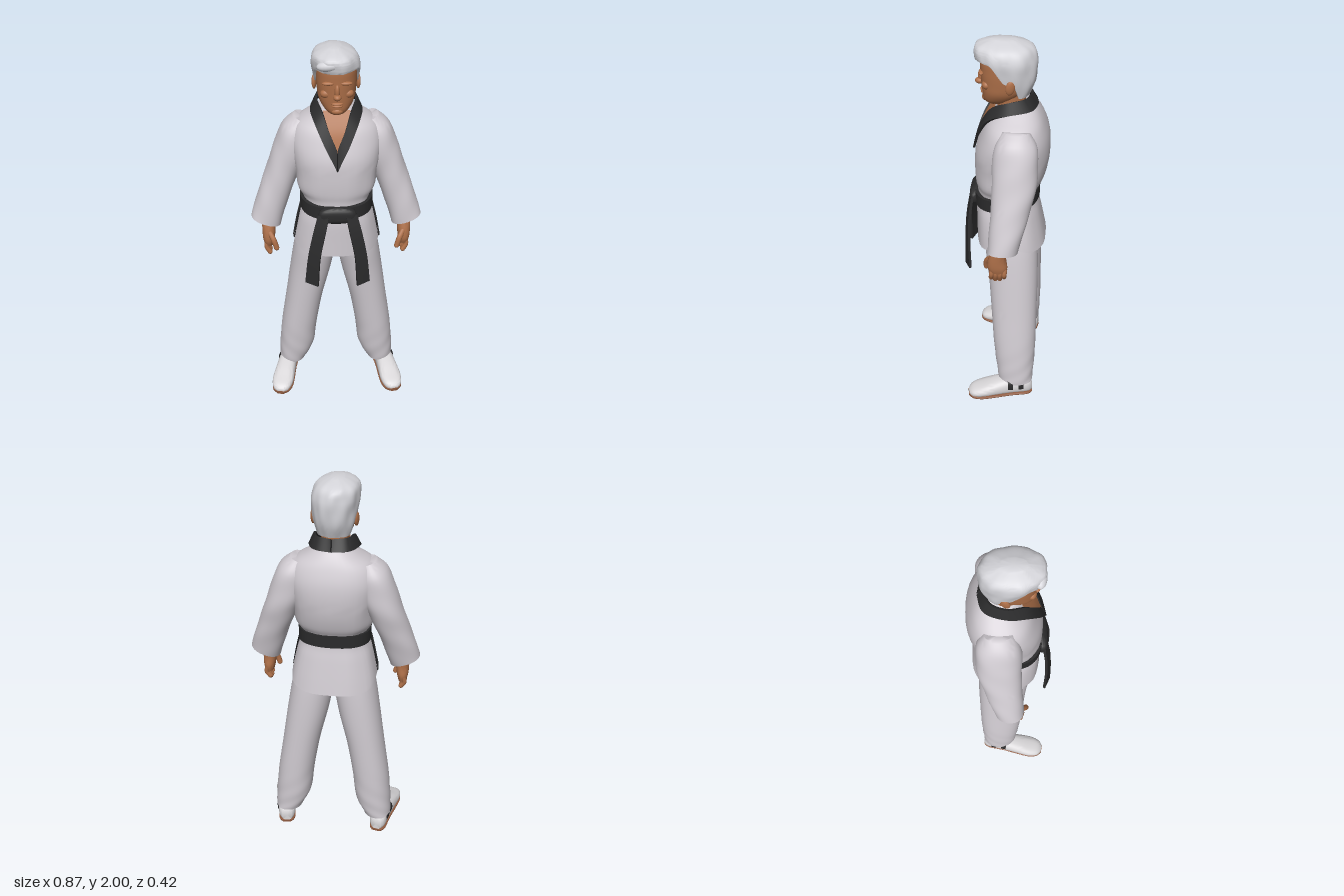
import * as THREE from 'three';
import { toCreasedNormals } from 'three/addons/utils/BufferGeometryUtils.js';

const V = (x, y, z) => new THREE.Vector3(x, y, z);
const mat = (name, color) => {
  const m = new THREE.MeshStandardMaterial({ color });
  m.name = name;
  return m;
};

// Closed skin over a stack of rings, capped at both ends
function skin(rings, crease = 1) {
  const n = rings[0].length, pos = [], idx = [];
  for (const r of rings) for (const p of r) pos.push(p.x, p.y, p.z);
  for (let r = 0; r < rings.length - 1; r++) {
    for (let i = 0; i < n; i++) {
      const a = r * n + i, b = r * n + (i + 1) % n;
      idx.push(a, a + n, b, b, a + n, b + n);
    }
  }
  [rings[0], rings[rings.length - 1]].forEach((ring, end) => {
    const c = ring.reduce((s, p) => s.add(p), V(0, 0, 0)).divideScalar(n);
    const ci = pos.length / 3, o = end ? (rings.length - 1) * n : 0;
    pos.push(c.x, c.y, c.z);
    for (let i = 0; i < n; i++) {
      const a = o + i, b = o + (i + 1) % n;
      if (end) idx.push(ci, b, a); else idx.push(ci, a, b);
    }
  });
  const g = new THREE.BufferGeometry();
  g.setAttribute('position', new THREE.Float32BufferAttribute(pos, 3));
  g.setIndex(idx);
  return toCreasedNormals(g, crease);
}

// Smooth loft of superellipse sections [y, centreX, halfWidth, backZ, frontZ], bottom to top
function loft(secs, { p = 2.2, tx = 0, tz = 0, start = () => 0, wob = () => 0, rows = 28, seg = 36 } = {}) {
  const last = secs.length - 1;
  const at = t => {
    const f = Math.min(t * last, last - 1e-6), i = Math.floor(f), u = f - i;
    const [a, b, c, d] = [i - 1, i, i + 1, i + 2].map(k => secs[Math.max(0, Math.min(last, k))]);
    return b.map((_, k) => b[k] + 0.5 * u * (c[k] - a[k]
      + u * (2 * a[k] - 5 * b[k] + 4 * c[k] - d[k] + u * (3 * (b[k] - c[k]) + d[k] - a[k]))));
  };
  const pw = v => Math.sign(v) * Math.abs(v) ** (2 / p);
  const rings = [];
  for (let r = 0; r <= rows; r++) {
    const ring = [];
    for (let i = 0; i < seg; i++) {
      const th = i / seg * Math.PI * 2, t0 = start(Math.cos(th), Math.sin(th));
      const t = t0 + (1 - t0) * r / rows;
      const [y, cx, hx, zb, zf] = at(t), k = 1 + wob(th, t);
      const dx = hx * k * pw(Math.cos(th)), dz = (zf - zb) / 2 * k * pw(Math.sin(th));
      ring.push(V(cx + dx, y + tx * dx + tz * dz, (zb + zf) / 2 + dz));
    }
    rings.push(ring);
  }
  return skin(rings);
}

// Flat strap between two edge curves, thickened outwards
function strap(A, B, th, n = 24) {
  const ca = new THREE.CatmullRomCurve3(A.map(q => V(...q)));
  const cb = new THREE.CatmullRomCurve3(B.map(q => V(...q)));
  const rings = [];
  for (let i = 0; i <= n; i++) {
    const t = i / n, a = ca.getPoint(t), b = cb.getPoint(t);
    const tan = ca.getTangent(t).add(cb.getTangent(t));
    const o = tan.cross(b.clone().sub(a)).normalize().multiplyScalar(th);
    rings.push([a, a.clone().add(o), b.clone().add(o), b]);
  }
  return skin(rings, 0.7);
}

function mirrorX(geo) {
  const g = geo.index ? geo.toNonIndexed() : geo.clone();
  g.scale(-1, 1, 1);
  for (const at of [g.attributes.position, g.attributes.normal]) {
    for (let i = 0; i < at.count; i += 3) {
      const q = [at.getX(i + 1), at.getY(i + 1), at.getZ(i + 1)];
      at.setXYZ(i + 1, at.getX(i + 2), at.getY(i + 2), at.getZ(i + 2));
      at.setXYZ(i + 2, ...q);
    }
  }
  return g;
}

const ball = (x, y, z, rx, ry, rz) => new THREE.SphereGeometry(1, 20, 14).scale(rx, ry, rz).translate(x, y, z);

function finger(points, r) {
  const c = new THREE.CatmullRomCurve3(points.map(q => V(...q)));
  return [new THREE.TubeGeometry(c, 8, r, 10), ball(...points[points.length - 1], r, r, r)];
}

export function createModel() {
  const model = new THREE.Group();
  model.name = 'martialArtist';
  const cloth = mat('whiteCloth', 0xcfcad0), black = mat('blackCloth', 0x2b2b2c);
  const flesh = mat('skin', 0xae7049), grey = mat('greyHair', 0xd3d3d8);
  const shoeWhite = mat('shoeWhite', 0xdad8da), brown = mat('soleBrown', 0x8f5b40);

  const add = (name, geo, m) => {
    const mesh = new THREE.Mesh(geo, m);
    mesh.name = name;
    model.add(mesh);
  };
  const pair = (name, geo, m) => {
    add(name + 'Left', geo, m);
    add(name + 'Right', mirrorX(geo), m);
  };

  // Jacket body, hem raised at the side slits
  add('jacket', loft([
    [0.92, 0, 0.228, -0.205, 0.15], [1.0, 0, 0.215, -0.19, 0.15], [1.1, 0, 0.192, -0.17, 0.15],
    [1.17, 0, 0.168, -0.155, 0.145], [1.23, 0, 0.17, -0.155, 0.145], [1.28, 0, 0.197, -0.18, 0.152],
    [1.36, 0, 0.205, -0.203, 0.155], [1.45, 0, 0.22, -0.213, 0.15], [1.53, 0, 0.225, -0.207, 0.125],
    [1.6, 0, 0.2, -0.185, 0.095], [1.65, 0, 0.13, -0.16, 0.055], [1.69, 0, 0.07, -0.13, 0.03],
  ], { p: 2.4, rows: 48, start: c => 0.055 * Math.abs(c) ** 5,
    wob: (a, t) => t < 0.6 ? 0.008 * Math.sin(9 * a + 5 * t) : 0 }), cloth);

  // Sleeves
  pair('sleeve', loft([
    [1.06, 0.362, 0.075, -0.085, 0.06], [1.15, 0.335, 0.075, -0.11, 0.055], [1.25, 0.3, 0.075, -0.135, 0.05],
    [1.35, 0.262, 0.078, -0.16, 0.047], [1.45, 0.222, 0.083, -0.168, 0.05], [1.55, 0.19, 0.075, -0.16, 0.04],
    [1.615, 0.165, 0.04, -0.125, 0.005],
  ], { tx: 0.35, wob: (a, t) => 0.012 * Math.sin(3 * a + 22 * t) }), cloth);

  // Trousers
  pair('trouserLeg', loft([
    [0.09, 0.252, 0.074, -0.165, 0.02], [0.2, 0.224, 0.096, -0.172, 0.037], [0.35, 0.207, 0.098, -0.176, 0.052],
    [0.55, 0.175, 0.1, -0.176, 0.066], [0.75, 0.137, 0.109, -0.175, 0.082], [0.9, 0.112, 0.11, -0.17, 0.1],
    [1.0, 0.1, 0.1, -0.16, 0.1],
  ], { rows: 36, wob: (a, t) => 0.02 * Math.max(0, 0.4 - t) * Math.sin(4 * a + 45 * t) * 2 }), cloth);

  // Collar and bare chest inside it
  pair('collar', strap(
    [[0, 1.42, 0.158], [0.055, 1.53, 0.128], [0.1, 1.63, 0.068], [0.115, 1.67, -0.02], [0.08, 1.68, -0.118], [0, 1.68, -0.142]],
    [[0, 1.52, 0.134], [0.035, 1.6, 0.105], [0.064, 1.68, 0.055], [0.09, 1.725, -0.02], [0.065, 1.735, -0.09], [0, 1.735, -0.115]],
    0.012, 36), black);
  add('chest', strap(
    [[0.003, 1.51, 0.14], [0.038, 1.6, 0.106], [0.066, 1.69, 0.05]],
    [[-0.003, 1.51, 0.14], [-0.038, 1.6, 0.106], [-0.066, 1.69, 0.05]], 0.004), flesh);

  // Belt, knot, hanging ends and dark side slits
  add('belt', loft([[1.163, 0, 0.184, -0.168, 0.16], [1.23, 0, 0.184, -0.168, 0.16]],
    { p: 2.4, tz: -0.1, rows: 4, seg: 48 }), black);
  add('beltKnot', loft([[1.135, 0, 0.05, 0.13, 0.175], [1.15, 0, 0.09, 0.13, 0.185],
    [1.195, 0, 0.09, 0.13, 0.185], [1.215, 0, 0.06, 0.13, 0.175]], { p: 3, rows: 10 }), black);
  pair('beltEnd', strap(
    [[0.162, 0.785, 0.17], [0.145, 0.95, 0.175], [0.12, 1.08, 0.172], [0.095, 1.18, 0.16]],
    [[0.097, 0.775, 0.2], [0.085, 0.95, 0.196], [0.06, 1.08, 0.188], [0.04, 1.18, 0.172]], 0.013), black);
  pair('sideSlit', strap(
    [[0.226, 0.97, 0.0], [0.208, 1.07, 0.0], [0.185, 1.17, 0.0]],
    [[0.222, 0.98, 0.05], [0.205, 1.07, 0.045], [0.184, 1.17, 0.04]], -0.006), black);

  // Hands
  pair('palm', loft([[0.925, 0.352, 0.022, -0.028, 0.05], [0.96, 0.352, 0.03, -0.036, 0.062],
    [1.01, 0.35, 0.034, -0.03, 0.058], [1.08, 0.352, 0.032, -0.035, 0.035]], { rows: 12, seg: 24 }), flesh);
  for (let i = 0; i < 4; i++) {
    const z = -0.024 + i * 0.021, low = [0.895, 0.882, 0.88, 0.888][i];
    finger([[0.358, 0.955, z], [0.364, 0.92, z + 0.003], [0.348, low, z + 0.006]], 0.0125)
      .forEach((g, k) => pair(k ? 'fingertip' : 'finger', g, flesh));
  }
  finger([[0.345, 1.01, 0.045], [0.325, 0.975, 0.068], [0.312, 0.93, 0.072]], 0.014)
    .forEach((g, k) => pair(k ? 'thumbTip' : 'thumb', g, flesh));

  // Shoes, lofted from heel to toe and turned outwards
  const shoe = (secs, p) => loft(secs.map(([z, hx, y0, y1]) => [z, 0, hx, -y1, -y0]), { p, rows: 24, seg: 28 })
    .rotateX(Math.PI / 2).rotateY(0.2).translate(0.288, 0, 0.004);
  pair('shoe', shoe([[-0.17, 0.028, 0.012, 0.08], [-0.14, 0.046, 0.006, 0.11], [-0.05, 0.05, 0.006, 0.115],
    [0.04, 0.056, 0.006, 0.095], [0.11, 0.059, 0.006, 0.07], [0.16, 0.046, 0.006, 0.052], [0.182, 0.02, 0.012, 0.034]], 2.6), shoeWhite);
  pair('sole', shoe([[-0.172, 0.026, 0, 0.014], [-0.14, 0.045, 0, 0.014], [-0.05, 0.047, 0, 0.014],
    [0.04, 0.055, 0, 0.014], [0.11, 0.059, 0, 0.015], [0.16, 0.047, 0, 0.018], [0.184, 0.02, 0, 0.02]], 4), brown);
  for (const z of [-0.12, -0.06]) {
    pair('shoeStripe', shoe([[z, 0.053, 0.035, 0.117], [z + 0.028, 0.054, 0.035, 0.118]], 3), black);
  }

  // Neck, head and face
  add('neck', loft([[1.58, 0, 0.075, -0.1, 0.06], [1.66, 0, 0.064, -0.09, 0.045], [1.79, 0, 0.066, -0.09, 0.04]]), flesh);
  add('head', loft([
    [1.683, 0, 0.028, 0.02, 0.085], [1.705, 0, 0.056, -0.03, 0.11], [1.75, 0, 0.084, -0.08, 0.116],
    [1.8, 0, 0.093, -0.11, 0.12], [1.86, 0, 0.097, -0.12, 0.123], [1.92, 0, 0.094, -0.12, 0.12], [1.97, 0, 0.06, -0.08, 0.08],
  ], { p: 2.3 }), flesh);
  add('noseBridge', ball(0, 1.815, 0.118, 0.013, 0.035, 0.018).rotateX(0), flesh);
  add('noseTip', ball(0, 1.79, 0.128, 0.019, 0.015, 0.022), flesh);
  add('upperLip', ball(0, 1.752, 0.114, 0.028, 0.007, 0.01), flesh);
  add('lowerLip', ball(0, 1.739, 0.113, 0.024, 0.007, 0.01), flesh);
  add('chin', ball(0, 1.71, 0.098, 0.03, 0.018, 0.02), flesh);
  pair('brow', ball(0.04, 1.853, 0.113, 0.03, 0.009, 0.014), flesh);
  pair('cheek', ball(0.05, 1.795, 0.09, 0.028, 0.022, 0.022), flesh);
  pair('ear', ball(0, 0, 0, 0.011, 0.036, 0.022).rotateY(0.25).rotateX(-0.15).translate(0.104, 1.808, -0.025), flesh);

  // Hair with a hairline high at the brow and low at the nape
  const step = THREE.MathUtils.smoothstep;
  add('hair', loft([
    [1.74, 0, 0.084, -0.11, 0.05], [1.8, 0, 0.1, -0.134, 0.09], [1.86, 0, 0.109, -0.142, 0.125],
    [1.92, -0.003, 0.114, -0.14, 0.148], [1.97, -0.01, 0.095, -0.118, 0.145], [2.0, -0.01, 0.03, -0.04, 0.07],
  ], { p: 2.1, rows: 24, seg: 64,
    start: (c, s) => 0.27 * step(s, -0.42, -0.12) + 0.3 * step(s, 0.15, 0.45),
    wob: (a, t) => 0.016 * Math.sin(7 * a + 9 * t) + 0.01 * Math.sin(13 * a - 6 * t) }), grey);
  add('quiff', ball(0, 0, 0, 0.06, 0.026, 0.03).rotateZ(0.12).translate(-0.035, 1.942, 0.122), grey);

  return model;
}
